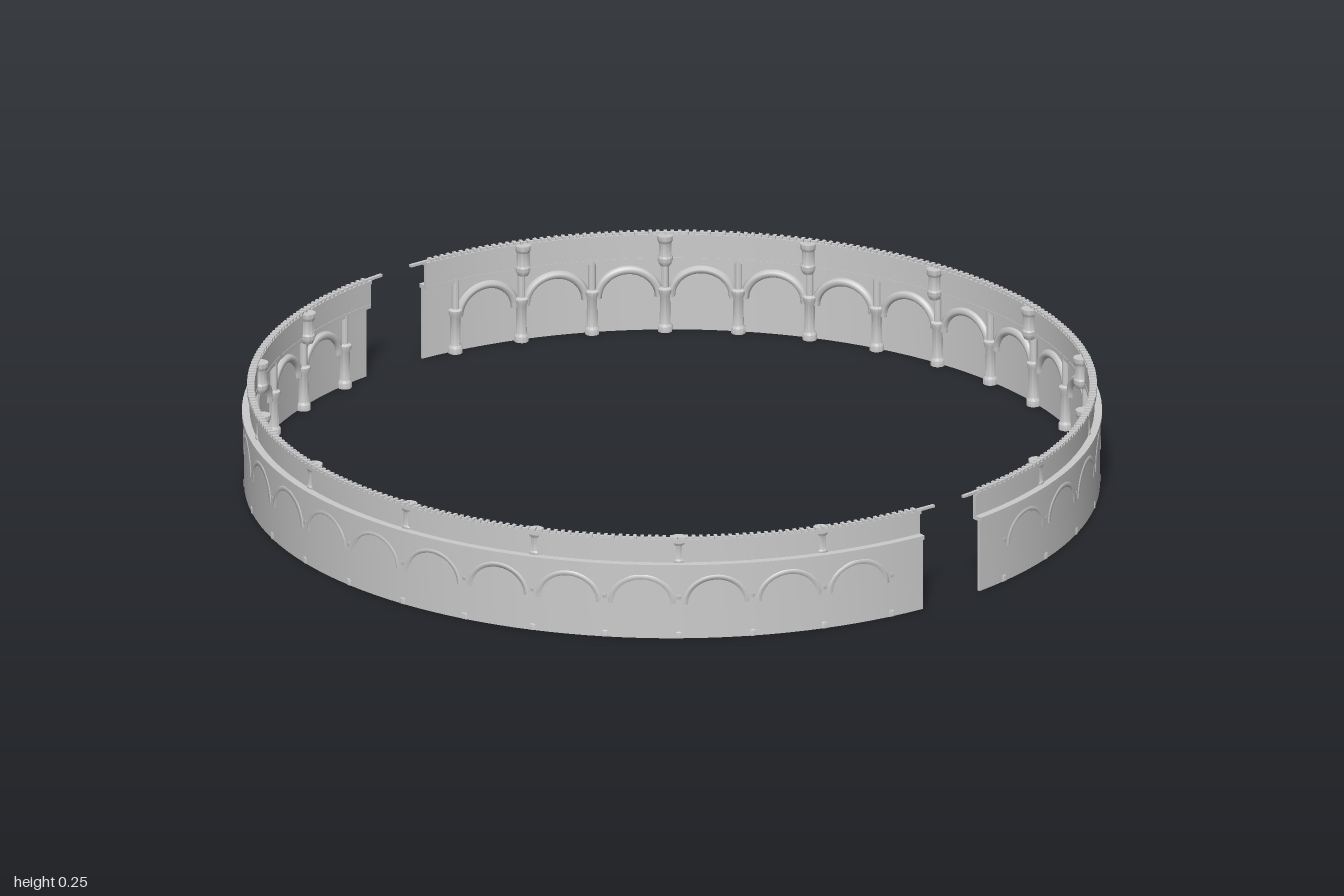
import * as THREE from 'three';
import { toCreasedNormals } from 'three/addons/utils/BufferGeometryUtils.js';

const DEG = Math.PI / 180;
const material = new THREE.MeshStandardMaterial({ color: 0xcccccc, side: THREE.DoubleSide });

// Point on the ring: angle in degrees from +z towards +x
const onRing = (deg, r, y) =>
  new THREE.Vector3(r * Math.sin(deg * DEG), y, r * Math.cos(deg * DEG));

function addMesh(parent, name, geometry) {
  const mesh = new THREE.Mesh(geometry, material);
  mesh.name = name;
  parent.add(mesh);
  return mesh;
}

// Rectangular section swept from angle a to b, with closed ends
function addArc(parent, name, r0, r1, y0, y1, a, b) {
  const profile = [[r0, y0], [r1, y0], [r1, y1], [r0, y1], [r0, y0]]
    .map(([r, y]) => new THREE.Vector2(r, y));
  const lathe = new THREE.LatheGeometry(profile, Math.ceil((b - a) / 2.5), a * DEG, (b - a) * DEG);
  addMesh(parent, name, toCreasedNormals(lathe, 0.6));
  for (const end of [a, b]) {
    const cap = new THREE.ShapeGeometry(new THREE.Shape(profile.slice(0, 4)));
    addMesh(parent, name + 'End', cap.rotateY(end * DEG - Math.PI / 2));
  }
}

function columnGeometry(points) {
  const profile = points.map(([r, y]) => new THREE.Vector2(r, y));
  return toCreasedNormals(new THREE.LatheGeometry(profile, 12), 0.7);
}

// Lower column with base, capital and slim shaft above
const lowerColumn = columnGeometry([
  [0, 0], [0.017, 0], [0.017, 0.014], [0.013, 0.02], [0.012, 0.088],
  [0.016, 0.098], [0.016, 0.106], [0.009, 0.11], [0.009, 0.18],
]);
// Stout upper column that rises to the cornice
const upperColumn = columnGeometry([
  [0, 0.165], [0.012, 0.168], [0.018, 0.18], [0.018, 0.188], [0.015, 0.192],
  [0.015, 0.225], [0.019, 0.232], [0.019, 0.243], [0, 0.243],
]);

// Round arch bent around the ring
function archGeometry(centre) {
  const points = [];
  const half = 4.2, spring = 0.085, rise = 0.066, r = 0.986;
  for (let i = 0; i <= 14; i++) {
    const t = Math.PI * i / 14;
    points.push(onRing(centre - half * Math.cos(t), r, spring + rise * Math.sin(t)));
  }
  return new THREE.TubeGeometry(new THREE.CatmullRomCurve3(points), 24, 0.0105, 6);
}

function buildHalf() {
  const half = new THREE.Group();
  addArc(half, 'lowerWall', 0.987, 0.994, 0, 0.178, 5, 175);
  addArc(half, 'ledge', 0.972, 0.999, 0.174, 0.184, 5, 175);
  addArc(half, 'upperWall', 0.973, 0.981, 0.184, 0.238, 5, 175);
  addArc(half, 'cornice', 0.97, 0.987, 0.234, 0.243, 5, 175);
  addArc(half, 'coping', 0.976, 0.984, 0.24, 0.246, 2.6, 177.4);

  // Columns every ten degrees, tall ones every twenty
  for (let deg = 10; deg <= 170; deg += 10) {
    addMesh(half, 'lowerColumn', lowerColumn).position.copy(onRing(deg, 0.979, 0));
  }
  for (let deg = 20; deg <= 160; deg += 20) {
    addMesh(half, 'upperColumn', upperColumn).position.copy(onRing(deg, 0.968, 0));
  }
  for (let deg = 15; deg <= 165; deg += 10) {
    addMesh(half, 'arch', archGeometry(deg));
  }

  // Row of small roof tiles along the top
  const tile = new THREE.BoxGeometry(0.008, 0.006, 0.016);
  for (let deg = 6; deg <= 174; deg += 1) {
    const mesh = addMesh(half, 'copingTile', tile);
    mesh.position.copy(onRing(deg, 0.979, 0.246));
    mesh.rotation.y = deg * DEG;
  }
  return half;
}

export function createModel() {
  const model = new THREE.Group();
  model.name = 'circularArcade';
  for (const [name, turn] of [['leftHalf', 0], ['rightHalf', Math.PI]]) {
    const half = buildHalf();
    half.name = name;
    half.rotation.y = turn;
    model.add(half);
  }
  return model;
}
